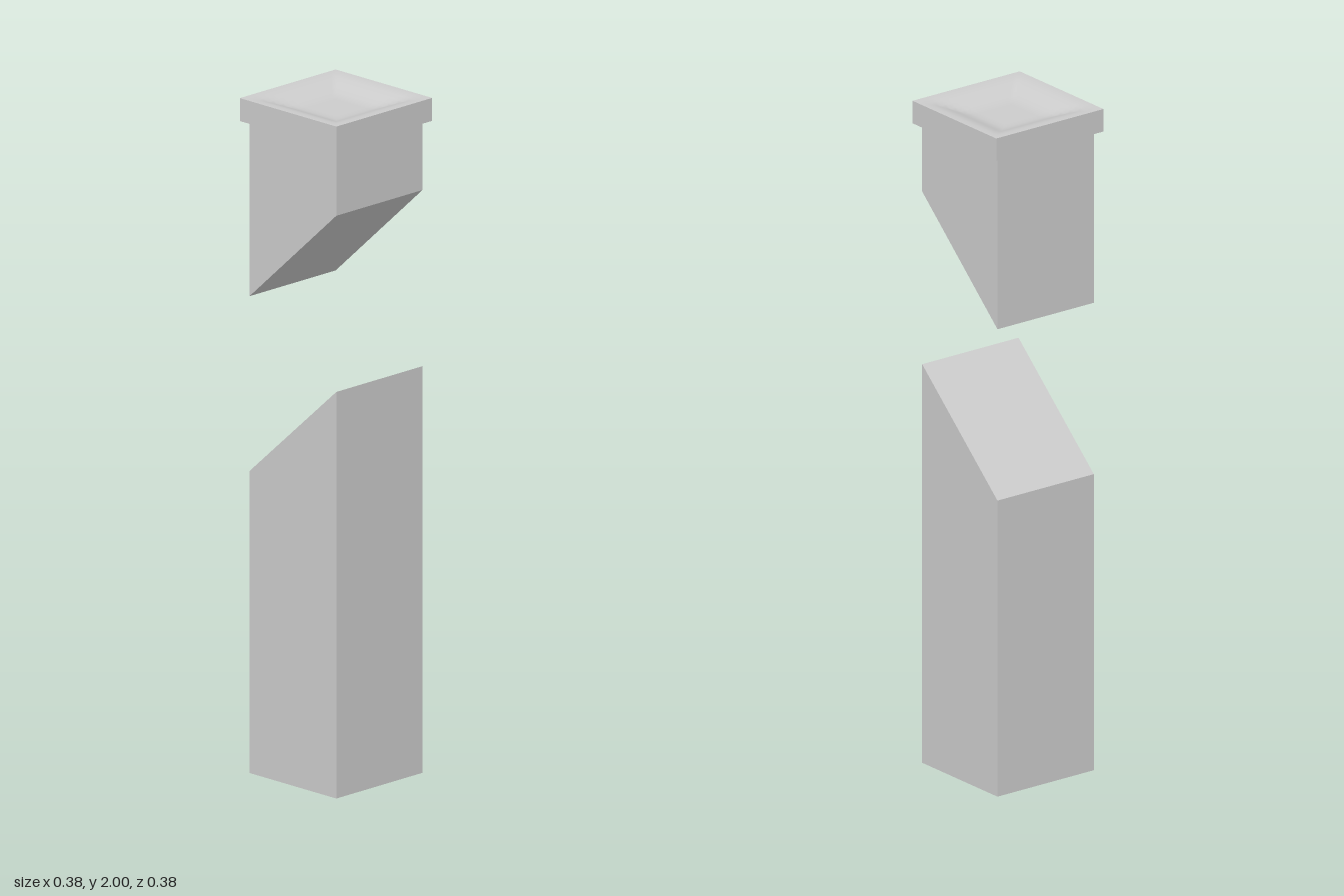
import * as THREE from 'three';

const HALF = 0.173; // half width of the square shaft
const CAP = 0.1925; // half width of the cap

const material = new THREE.MeshStandardMaterial({ color: 0xcccccc });

// Square shaft whose bottom and top heights may differ between front (+z) and back (-z)
function shaft(name, bottom, top) {
  const geometry = new THREE.BoxGeometry(2 * HALF, 1, 2 * HALF);
  const p = geometry.attributes.position;
  for (let i = 0; i < p.count; i++) {
    const end = p.getY(i) > 0 ? top : bottom;
    p.setY(i, p.getZ(i) > 0 ? end.front : end.back);
  }
  geometry.computeVertexNormals();
  const mesh = new THREE.Mesh(geometry, material);
  mesh.name = name;
  return mesh;
}

// Square cap with a shallow, softly dished top
function dishedCap() {
  const low = 1.932, high = 2, depth = 0.03;
  const geometry = new THREE.BoxGeometry(2 * CAP, high - low, 2 * CAP, 20, 1, 20);
  geometry.translate(0, (low + high) / 2, 0);
  const p = geometry.attributes.position;
  for (let i = 0; i < p.count; i++) {
    if (p.getY(i) < high - 0.001) continue;
    const r = Math.max(Math.abs(p.getX(i)), Math.abs(p.getZ(i)));
    p.setY(i, high - depth * (1 - THREE.MathUtils.smoothstep(r, 0.07, 0.18)));
  }
  geometry.computeVertexNormals();
  const mesh = new THREE.Mesh(geometry, material);
  mesh.name = 'cap';
  return mesh;
}

export function createModel() {
  const model = new THREE.Group();
  model.name = 'cutPillar';
  model.add(
    shaft('lowerShaft', { front: 0, back: 0 }, { front: 1.205, back: 0.895 }),
    shaft('upperShaft', { front: 1.727, back: 1.413 }, { front: 1.935, back: 1.935 }),
    dishedCap()
  );
  return model;
}
